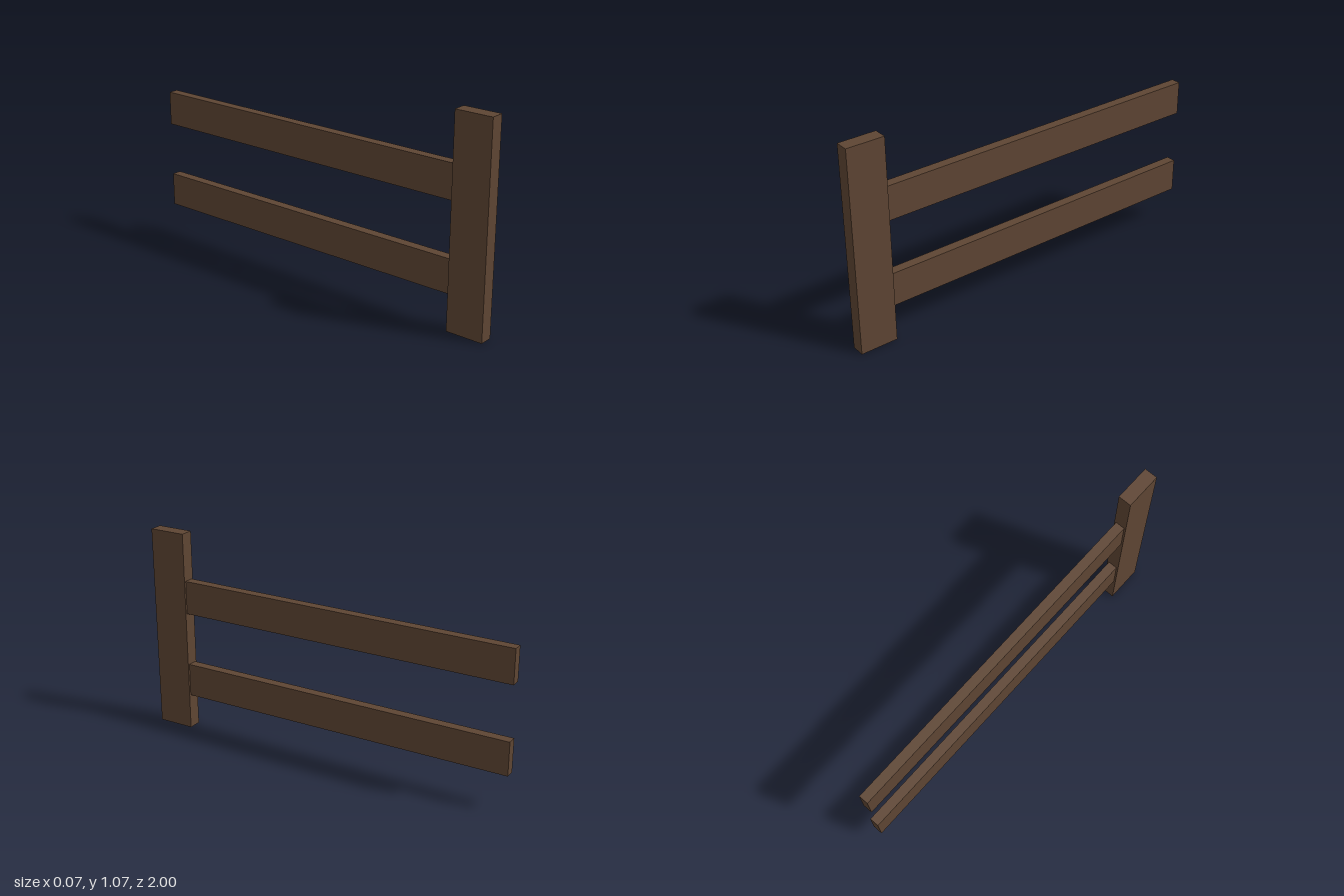
import * as THREE from 'three';

export function createModel() {
  const group = new THREE.Group();
  const wood = new THREE.MeshStandardMaterial({ color: 0x5e4533 });
  wood.name = 'dark brown wood';

  // Box given by its width and its y and z extents, centred on x = 0
  const plank = (name, width, y0, y1, z0, z1) => {
    const mesh = new THREE.Mesh(new THREE.BoxGeometry(width, y1 - y0, z1 - z0), wood);
    mesh.position.set(0, (y0 + y1) / 2, (z0 + z1) / 2);
    mesh.name = name;
    group.add(mesh);
  };

  // Upright post at the front end
  plank('post', 0.07, 0, 1.07, 0.805, 1);

  // Two horizontal rails running back from the post
  plank('lowerRail', 0.05, 0.185, 0.36, -1, 0.805);
  plank('upperRail', 0.05, 0.642, 0.818, -1, 0.805);

  return group;
}
